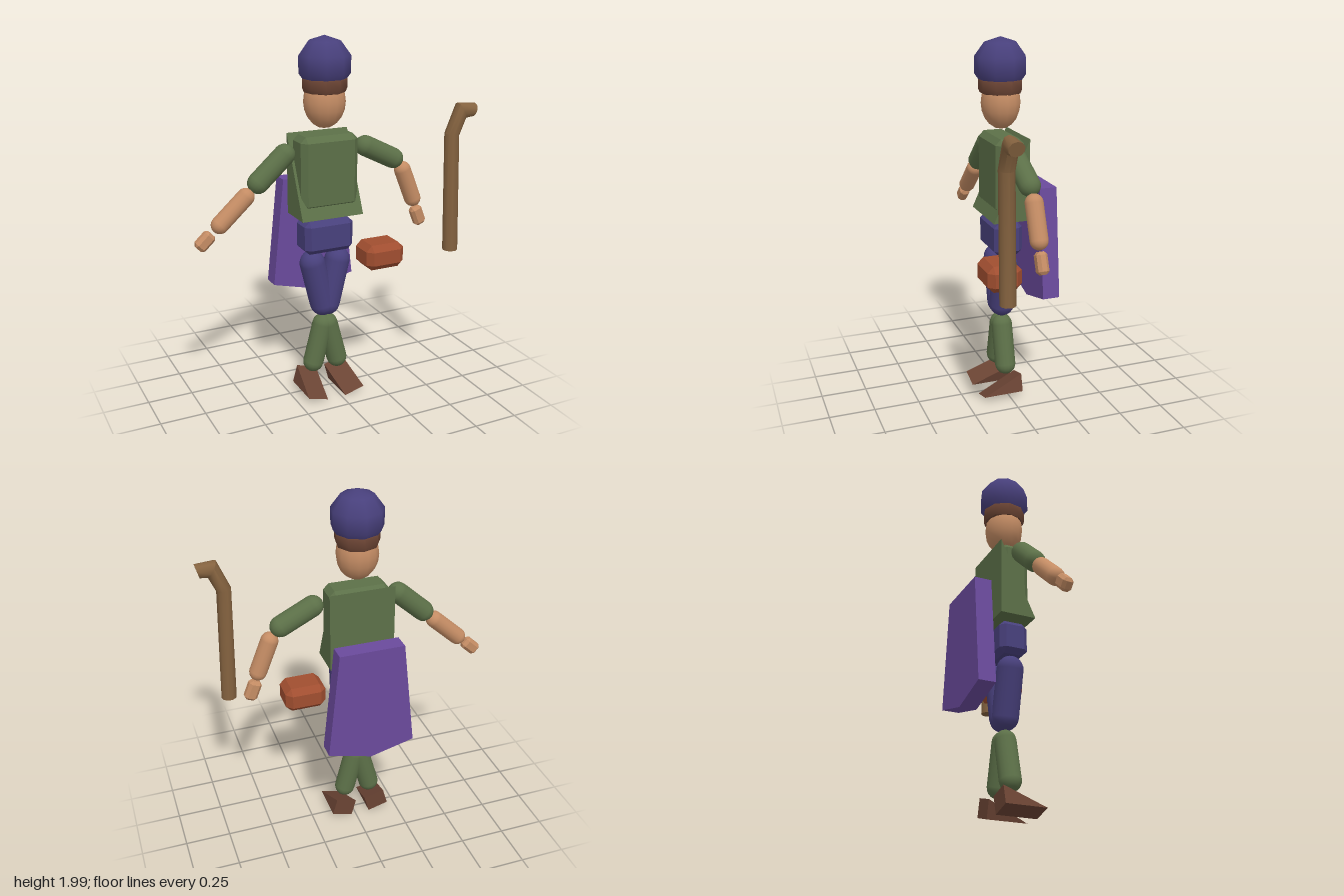
import * as THREE from 'three';
import { ConvexGeometry } from 'three/addons/geometries/ConvexGeometry.js';
import { toCreasedNormals } from 'three/addons/utils/BufferGeometryUtils.js';

const COLORS = {
  blue: 0x48407c, skin: 0xc48c64, green: 0x5c7048, purple: 0x6a4a9c,
  brown: 0x6b4434, orange: 0xa04e30, wood: 0x84623f,
};
const MID = -0.03; // x of the body's centre line

export function createModel() {
  const model = new THREE.Group();
  model.name = 'wanderer';

  const add = (name, geometry, color, x = 0, y = 0, z = 0, turn = 0) => {
    const material = new THREE.MeshStandardMaterial({ color: COLORS[color] });
    const mesh = new THREE.Mesh(geometry, material);
    mesh.name = name;
    mesh.position.set(x, y, z);
    mesh.rotation.z = turn;
    model.add(mesh);
    return mesh;
  };

  // Box with every edge cut by a chamfer c
  const chamferBox = (w, h, d, c) => {
    const half = [w / 2, h / 2, d / 2];
    const points = [];
    for (const sx of [-1, 1]) for (const sy of [-1, 1]) for (const sz of [-1, 1]) {
      for (let full = 0; full < 3; full++) {
        const p = [sx, sy, sz].map((s, i) => s * (half[i] - (i === full ? 0 : c)));
        points.push(new THREE.Vector3(...p));
      }
    }
    return new ConvexGeometry(points);
  };

  // Right-angled wedge: upright back, slope falling to the front
  const wedge = (w, h, d) => {
    const shape = new THREE.Shape([
      new THREE.Vector2(-d / 2, -h / 2), new THREE.Vector2(d / 2, -h / 2), new THREE.Vector2(d / 2, h / 2),
    ]);
    return new THREE.ExtrudeGeometry(shape, { depth: w, bevelEnabled: false })
      .translate(0, 0, -w / 2).rotateY(Math.PI / 2);
  };

  // Capsule between two points of the z = 0 plane
  const limb = (name, color, r, [x1, y1], [x2, y2]) => {
    const length = Math.hypot(x2 - x1, y2 - y1);
    add(name, new THREE.CapsuleGeometry(r, length, 5, 16), color,
      (x1 + x2) / 2, (y1 + y2) / 2, 0, Math.atan2(x1 - x2, y2 - y1));
  };

  // Head, hair and cap
  add('head', new THREE.SphereGeometry(1, 14, 10).scale(0.113, 0.14, 0.105), 'skin', MID, 1.66, 0);
  const hairProfile = [[0.09, 1.705], [0.11, 1.712], [0.119, 1.735], [0.119, 1.78], [0.1, 1.8]]
    .map(([r, y]) => new THREE.Vector2(r, y));
  const hair = add('hair', toCreasedNormals(new THREE.LatheGeometry(hairProfile, 9), 0.8), 'brown', MID);
  hair.rotation.y = Math.PI;
  add('cap', new THREE.SphereGeometry(0.145, 9, 5).rotateY(-Math.PI / 2), 'blue', MID, 1.855, 0);

  // Torso
  add('chest', chamferBox(0.33, 0.4, 0.16, 0.03), 'green', MID + 0.005, 1.29, 0);
  add('vest', wedge(0.356, 0.44, 0.2), 'green', MID + 0.003, 1.27, 0.003);
  add('hips', chamferBox(0.285, 0.185, 0.16, 0.028), 'blue', MID, 0.937, 0);

  // Legs and shoes
  for (const s of [1, -1]) {
    const side = s > 0 ? 'left' : 'right';
    limb(side + 'Thigh', 'blue', 0.071, [MID + s * 0.075, 0.775], [MID + s * 0.015, 0.527]);
    limb(side + 'Shin', 'green', 0.058, [MID + s * 0.015, 0.4], [MID + s * 0.073, 0.177]);
    add(side + 'Shoe', wedge(0.12, 0.1, 0.225), 'brown', MID + s * 0.099, 0.069, 0.042, s * 0.265);
  }

  // Arms and hands
  limb('rightUpperArm', 'green', 0.057, [-0.26, 1.4], [-0.41, 1.265]);
  limb('rightForearm', 'skin', 0.047, [-0.48, 1.2], [-0.625, 1.068]);
  add('rightHand', chamferBox(0.07, 0.105, 0.058, 0.016), 'skin', -0.71, 0.992, 0, -0.82);
  limb('leftUpperArm', 'green', 0.057, [0.213, 1.4], [0.388, 1.312]);
  limb('leftForearm', 'skin', 0.047, [0.45, 1.24], [0.52, 1.065]);
  add('leftHand', chamferBox(0.07, 0.115, 0.058, 0.016), 'skin', 0.555, 0.96, 0, 0.38);

  // Belt pouch
  add('pouch', chamferBox(0.228, 0.142, 0.188, 0.033), 'orange', 0.252, 0.814, 0.11);

  // Cape: five-sided slab, widening to a shallow point
  const cape = new THREE.Shape([[-0.178, 1.22], [-0.243, 0.615], [0, 0.552], [0.243, 0.615], [0.178, 1.22]]
    .map(([x, y]) => new THREE.Vector2(x, y)));
  add('cape', new THREE.ExtrudeGeometry(cape, { depth: 0.095, bevelEnabled: false }), 'purple', MID + 0.003, 0, -0.25);

  // Staff: rings given by their outer and inner point, mitred at the bends
  const rings = [
    [0.605, 0.805, 0.69, 0.805], [0.588, 1.47, 0.667, 1.46],
    [0.656, 1.634, 0.704, 1.544], [0.767, 1.624, 0.746, 1.55],
  ];
  const sides = 10, positions = [], index = [];
  for (const [ax, ay, bx, by] of rings) {
    for (let i = 0; i < sides; i++) {
      const a = (i / sides) * Math.PI * 2, t = (1 + Math.cos(a)) / 2;
      positions.push(ax + (bx - ax) * t, ay + (by - ay) * t, -0.041 * Math.sin(a));
    }
  }
  for (let j = 0; j < rings.length - 1; j++) {
    for (let i = 0; i < sides; i++) {
      const a = j * sides + i, b = j * sides + (i + 1) % sides;
      index.push(a, b, b + sides, a, b + sides, a + sides);
    }
  }
  const last = (rings.length - 1) * sides;
  for (let i = 1; i < sides - 1; i++) {
    index.push(0, i + 1, i, last, last + i, last + i + 1);
  }
  const staff = new THREE.BufferGeometry();
  staff.setAttribute('position', new THREE.Float32BufferAttribute(positions, 3));
  staff.setIndex(index);
  add('staff', toCreasedNormals(staff, 0.7), 'wood', 0, 0, 0.21);

  return model;
}
